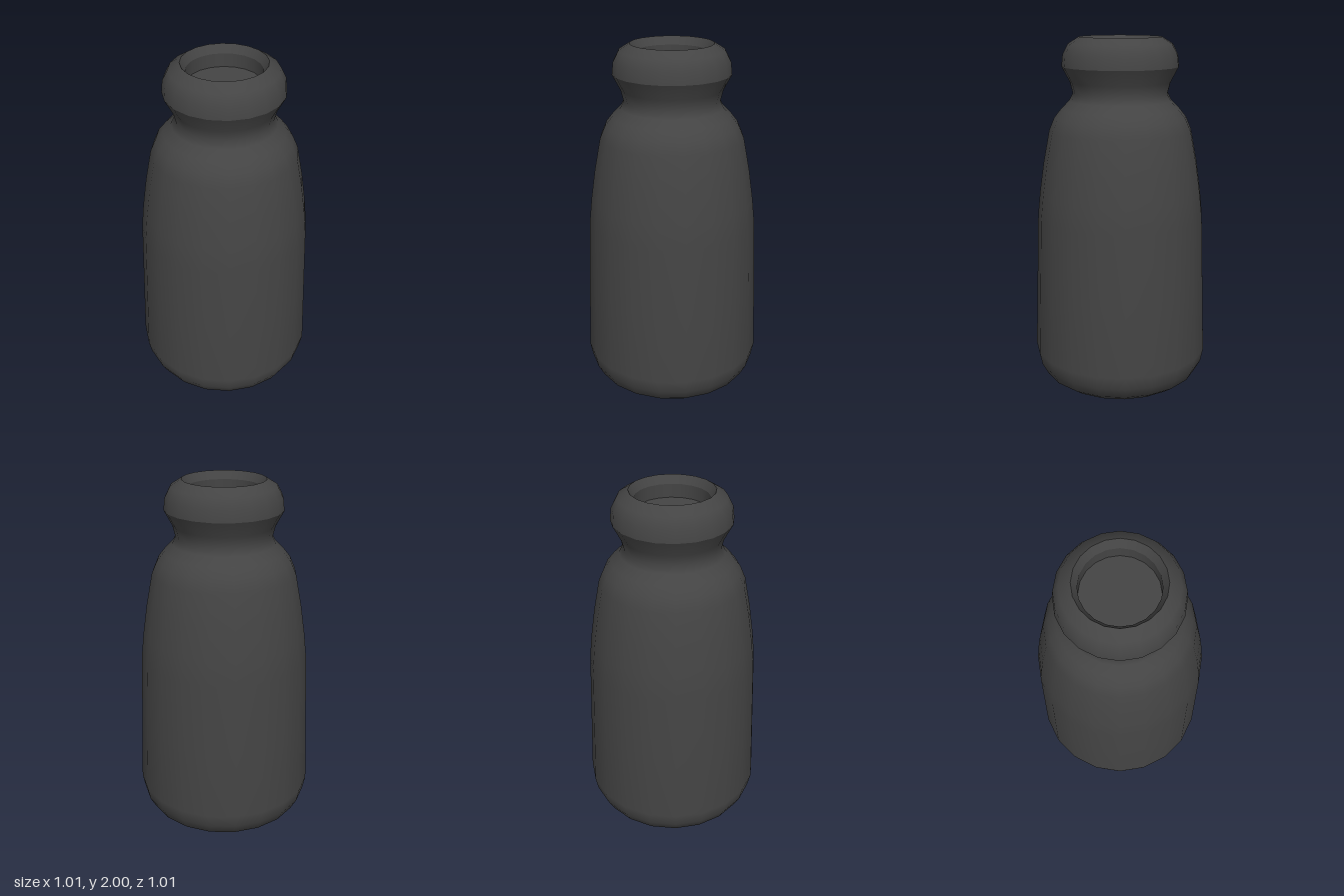
import * as THREE from 'three';

const SIDES = 20;

export function createModel() {
  const bottle = new THREE.Group();
  bottle.name = 'bottle';
  const material = new THREE.MeshStandardMaterial({ color: 0x444444 });

  // Each section is smooth within itself; separate sections meet at a sharp edge.
  // Profiles run up the outside and down the inside, so faces point outwards.
  const section = (name, profile) => {
    const points = profile.map(([r, y]) => new THREE.Vector2(r, y));
    const mesh = new THREE.Mesh(new THREE.LatheGeometry(points, SIDES), material);
    mesh.name = name;
    bottle.add(mesh);
  };

  // Flat underside
  section('base', [[0, 0], [0.325, 0]]);

  // Rounded foot, tapering body, shoulder and waisted neck
  section('body', [
    [0.325, 0], [0.4, 0.02], [0.455, 0.06], [0.49, 0.125], [0.505, 0.2],
    [0.49, 0.6], [0.475, 1.0], [0.46, 1.14], [0.435, 1.31], [0.4, 1.49],
    [0.37, 1.56], [0.33, 1.61], [0.285, 1.655], [0.265, 1.695],
    [0.28, 1.755], [0.325, 1.84],
  ]);

  // Bulging collar around the mouth
  section('collar', [[0.325, 1.84], [0.318, 1.905], [0.288, 1.963], [0.228, 2]]);

  // Bevelled lip, short inner wall and the floor closing the mouth
  section('lip', [[0.228, 2], [0.2, 1.955]]);
  section('mouthWall', [[0.2, 1.955], [0.2, 1.88]]);
  section('mouthFloor', [[0.2, 1.88], [0, 1.88]]);

  return bottle;
}
